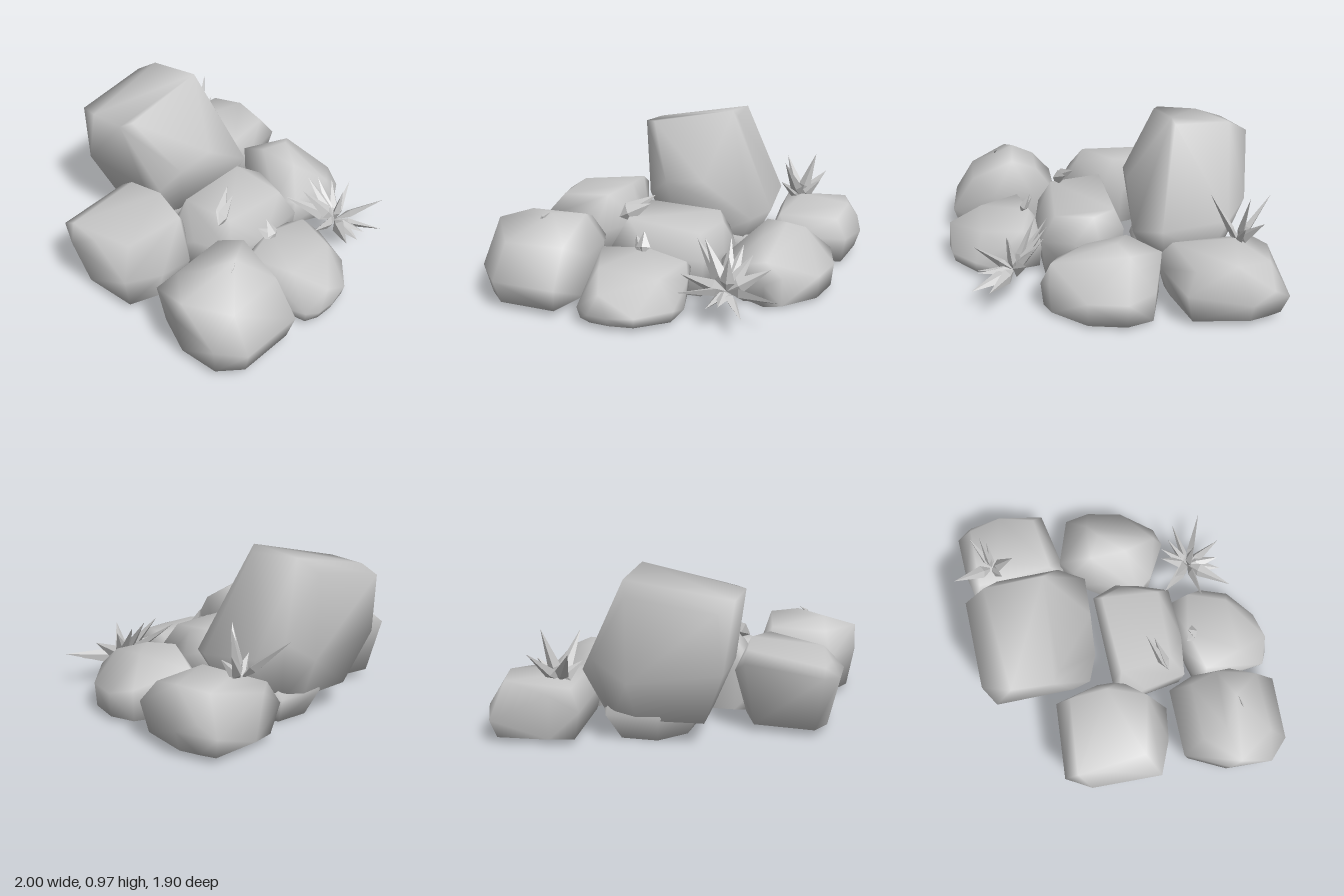
import * as THREE from 'three';
import { ConvexGeometry } from 'three/addons/geometries/ConvexGeometry.js';
import { mergeVertices } from 'three/addons/utils/BufferGeometryUtils.js';

const stone = new THREE.MeshStandardMaterial({ color: 0xc8c8c8 });
stone.name = 'stone grey';

// Smooth-shaded boulder: hull of a crown, its widest outline and a shrunken foot.
function boulder(name, crown, waist, footY, footScale) {
  const points = [...crown, ...waist].map((p) => new THREE.Vector3(...p));
  const centre = new THREE.Vector3();
  waist.forEach((p) => centre.add(new THREE.Vector3(...p).divideScalar(waist.length)));
  waist.forEach(([x, , z]) => points.push(new THREE.Vector3(
    centre.x + (x - centre.x) * footScale, footY, centre.z + (z - centre.z) * footScale)));
  let geometry = new ConvexGeometry(points);
  geometry.deleteAttribute('normal');
  geometry = mergeVertices(geometry, 0.001);
  geometry.computeVertexNormals();
  const mesh = new THREE.Mesh(geometry, stone);
  mesh.name = name;
  return mesh;
}

// Thin faceted blade from root to tip, widest a little above its root.
function blade(root, tip, width) {
  const a = new THREE.Vector3(...root);
  const direction = new THREE.Vector3(...tip).sub(a);
  const length = direction.length();
  const profile = [[0.001, 0], [width, length * 0.28], [0.0005, length]];
  const geometry = new THREE.LatheGeometry(profile.map((p) => new THREE.Vector2(...p)), 4)
    .scale(1, 1, 0.55).toNonIndexed();
  geometry.computeVertexNormals();
  const mesh = new THREE.Mesh(geometry, stone);
  mesh.position.copy(a);
  mesh.quaternion.setFromUnitVectors(new THREE.Vector3(0, 1, 0), direction.normalize());
  mesh.name = 'blade';
  return mesh;
}

function tuft(name, root, tips, width) {
  const group = new THREE.Group();
  group.name = name;
  tips.forEach((tip) => group.add(blade(root, tip, width)));
  return group;
}

export function createModel() {
  const model = new THREE.Group();
  model.name = 'rockPile';

  model.add(boulder('tallBoulder',
    [[-0.43, 0.85, -0.45], [-0.41, 0.83, -0.7], [-0.35, 0.79, -0.86], [0.15, 0.86, -0.87],
      [0.18, 0.97, -0.4], [0.19, 0.93, -0.75], [0.21, 0.93, -0.42], [-0.36, 0.86, -0.41]],
    [[0.47, 0.36, -0.3], [0.45, 0.4, -0.7], [0.35, 0.5, -0.82], [0.15, 0.38, -0.86],
      [-0.37, 0.45, -0.82], [-0.36, 0.42, -0.35], [-0.33, 0.42, -0.24],
      [-0.2, 0.52, -0.18], [0.05, 0.55, -0.16], [0.38, 0.34, -0.14]], 0.14, 0.72));

  model.add(boulder('supportBoulder',
    [[-0.1, 0.3, -0.28], [0.3, 0.3, -0.28], [0.3, 0.3, -0.65], [-0.1, 0.3, -0.65]],
    [[-0.22, 0.16, -0.28], [0, 0.16, -0.19], [0.34, 0.16, -0.18], [0.4, 0.16, -0.5],
      [0.3, 0.16, -0.76], [0, 0.16, -0.76], [-0.2, 0.16, -0.55]], 0, 0.7));

  model.add(boulder('leftBackBoulder',
    [[-0.88, 0.41, -0.42], [-0.9, 0.4, -0.22], [-0.43, 0.48, -0.38], [-0.42, 0.5, -0.15],
      [-0.5, 0.48, 0.08], [-0.84, 0.43, 0.0]],
    [[-0.96, 0.34, -0.35], [-0.88, 0.37, -0.5], [-0.43, 0.42, -0.47], [-0.33, 0.3, -0.2],
      [-0.33, 0.28, -0.05], [-0.55, 0.25, 0.2], [-0.75, 0.25, 0.17], [-0.96, 0.28, 0.08]], 0.04, 0.78));

  model.add(boulder('leftFrontBoulder',
    [[-1, 0.44, 0.55], [-0.8, 0.5, 0.5], [-0.62, 0.52, 0.6], [-0.45, 0.51, 0.52],
      [-0.48, 0.44, 0.36], [-0.82, 0.43, 0.36], [-0.48, 0.39, 0.78], [-0.84, 0.38, 0.78]],
    [[-0.87, 0.28, 0.24], [-0.45, 0.28, 0.24], [-0.39, 0.3, 0.4], [-0.39, 0.3, 0.64],
      [-0.48, 0.18, 0.92], [-0.87, 0.18, 0.9], [-1, 0.22, 0.77], [-1, 0.3, 0.5]], 0.04, 0.88));

  model.add(boulder('frontBoulder',
    [[-0.36, 0.31, 0.5], [-0.28, 0.28, 0.74], [0.08, 0.26, 0.74], [0.16, 0.28, 0.5],
      [-0.1, 0.31, 0.44], [-0.2, 0.21, 0.94]],
    [[-0.4, 0.2, 0.5], [-0.35, 0.2, 0.42], [-0.15, 0.2, 0.37], [0.15, 0.2, 0.38],
      [0.2, 0.21, 0.6], [0.18, 0.1, 0.79], [0, 0.09, 0.93], [-0.15, 0.08, 0.95],
      [-0.27, 0.08, 0.94], [-0.35, 0.1, 0.9]], 0.03, 0.94));

  model.add(boulder('middleBoulder',
    [[-0.31, 0.44, -0.04], [0.2, 0.41, -0.06], [0.26, 0.39, 0.08],
      [0.18, 0.38, 0.3], [-0.28, 0.42, 0.28]],
    [[-0.33, 0.3, -0.1], [0.25, 0.3, -0.11], [0.33, 0.25, 0.05], [0.3, 0.24, 0.2],
      [0.23, 0.24, 0.39], [-0.1, 0.24, 0.4], [-0.36, 0.26, 0.36], [-0.4, 0.24, 0.1],
      [-0.43, 0.14, -0.08]], 0.01, 0.92));

  model.add(boulder('rightBoulder',
    [[0.5, 0.38, -0.08], [0.64, 0.4, 0.0], [0.74, 0.36, -0.06], [0.52, 0.35, 0.16], [0.6, 0.28, 0.37]],
    [[0.55, 0.28, -0.28], [0.88, 0.2, -0.18], [0.93, 0.16, -0.02], [0.88, 0.16, 0.2],
      [0.7, 0.2, 0.39], [0.6, 0.16, 0.43], [0.36, 0.2, 0.3], [0.28, 0.2, 0.2],
      [0.37, 0.22, -0.05], [0.47, 0.25, -0.2]], 0.02, 0.96));

  model.add(boulder('rightBackBoulder',
    [[0.48, 0.32, -0.82], [0.6, 0.36, -0.7], [0.87, 0.34, -0.82],
      [0.92, 0.35, -0.62], [0.88, 0.31, -0.4], [0.52, 0.32, -0.35]],
    [[0.42, 0.2, -0.86], [0.58, 0.3, -0.9], [0.92, 0.14, -0.93], [0.96, 0.2, -0.83],
      [1, 0.14, -0.7], [0.95, 0.2, -0.34], [0.6, 0.2, -0.27], [0.47, 0.2, -0.26]], 0.03, 0.87));

  // Spiky plants growing between the boulders
  model.add(tuft('frontPlant', [0.42, 0.16, 0.57], [
    [0.75, 0.2, 0.72], [0.57, 0.12, 0.82], [0.43, 0.16, 0.78], [0.36, 0.14, 0.78],
    [0.2, 0.22, 0.8], [0.14, 0.25, 0.6], [0.18, 0.37, 0.35], [0.25, 0.41, 0.43],
    [0.39, 0.41, 0.37], [0.47, 0.38, 0.39], [0.54, 0.35, 0.45], [0.66, 0.3, 0.51],
    [0.44, 0.38, 0.6]], 0.045));
  model.add(tuft('backPlant', [0.58, 0.33, -0.72], [
    [0.44, 0.55, -0.95], [0.67, 0.63, -0.75], [0.5, 0.6, -0.57], [0.73, 0.5, -0.82],
    [0.71, 0.46, -0.72], [0.46, 0.44, -0.66]], 0.04));

  // Small leaves lying on the stones
  model.add(tuft('topLeaf', [-0.35, 0.41, 0.25],
    [[-0.15, 0.54, 0.15], [-0.16, 0.5, 0.2]], 0.055));
  model.add(tuft('frontLeaf', [-0.11, 0.29, 0.49],
    [[-0.12, 0.41, 0.43], [-0.18, 0.37, 0.41]], 0.045));
  model.add(tuft('leftLeaf', [-0.69, 0.49, 0.63], [[-0.63, 0.53, 0.61]], 0.012));
  return model;
}
